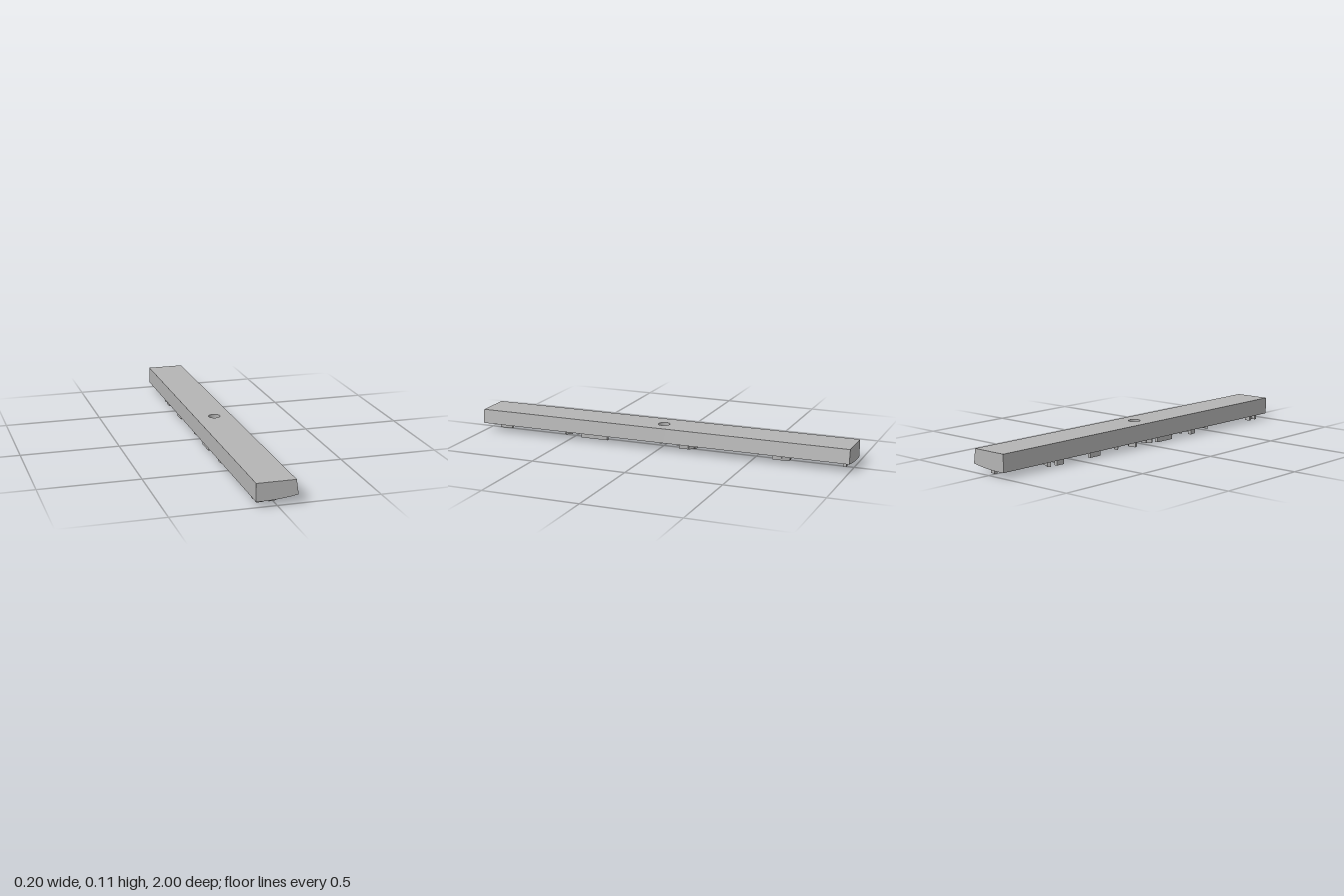
import * as THREE from 'three';

const TOP = 0.115, RELIEF = 0.027;
// gently curved underside height at x
const floorY = x => 0.027 + 0.55 * (x + 0.07) ** 2;

function extrude(shape, depth) {
  return new THREE.ExtrudeGeometry(shape, { depth, bevelEnabled: false, curveSegments: 16 });
}

function moveVertices(geo, rule) {
  const p = geo.attributes.position, v = new THREE.Vector3();
  for (let i = 0; i < p.count; i++) {
    rule(v.fromBufferAttribute(p, i));
    p.setXYZ(i, v.x, v.y, v.z);
  }
  geo.computeVertexNormals();
  return geo;
}

// columns across the width, shared by all bar sections
const columns = Array.from({ length: 13 }, (_, i) => -0.1 + (0.2 * i) / 12);

// solid bar section between two z positions
function barSection(z0, z1) {
  const s = new THREE.Shape();
  s.moveTo(0.09, TOP);
  s.lineTo(-0.1, TOP);
  columns.forEach(x => s.lineTo(x, floorY(x)));
  return extrude(s, z1 - z0).translate(0, 0, z0);
}

// middle section pierced by the screw hole
function piercedSection(half, radius) {
  const s = new THREE.Shape();
  columns.forEach((x, i) => (i ? s.lineTo(x, -half) : s.moveTo(x, -half)));
  [...columns].reverse().forEach(x => s.lineTo(x, half));
  const hole = new THREE.Path();
  hole.absarc(0, 0, radius, 0, Math.PI * 2, true);
  s.holes.push(hole);
  return moveVertices(extrude(s, 1).rotateX(-Math.PI / 2), v => {
    const top = v.y > 0.5;
    v.y = top ? TOP : floorY(v.x);
    if (top && v.x > 0.099) v.x = 0.09;
  });
}

// one straight raised rib from a to b, each [x, z], following the underside
function rib(a, b, width) {
  const dx = b[0] - a[0], dz = b[1] - a[1];
  const geo = new THREE.BoxGeometry(width, 1, Math.hypot(dx, dz) + width * 0.6).toNonIndexed();
  geo.rotateY(Math.atan2(dx, dz));
  geo.translate((a[0] + b[0]) / 2, 0, (a[1] + b[1]) / 2);
  return moveVertices(geo, v => {
    v.y = floorY(v.x) + (v.y < 0 ? -RELIEF : 0.008);
  });
}

// raised marks on the underside: chains of [x, z] points
const chains = [
  [[0.018, -0.958], [0.002, -0.958]],
  [[0.036, -0.603], [0.036, -0.64], [0.018, -0.672], [0.004, -0.672]],
  [[0.036, -0.603], [0.016, -0.606]],
  [[-0.024, -0.604], [-0.04, -0.604]],
  [[-0.026, -0.668], [-0.052, -0.672], [-0.078, -0.69]],
  [[-0.078, -0.603], [-0.078, -0.64]],
  [[-0.078, -0.35], [-0.078, -0.412]],
  [[0.036, -0.105], [0.03, -0.145], [0.01, -0.165], [-0.034, -0.172], [-0.05, -0.19]],
  [[0.034, -0.108], [0.01, -0.108]],
  [[-0.026, -0.065], [-0.05, -0.088], [-0.078, -0.08]],
  [[-0.032, 0.03], [-0.05, 0.035], [-0.072, 0.05]],
  [[-0.079, 0.087], [-0.079, 0.19]],
  [[0.038, 0.305], [0.038, 0.442]],
  [[0.016, 0.325], [0.006, 0.37], [-0.014, 0.352], [-0.03, 0.335]],
  [[-0.03, 0.398], [-0.045, 0.395], [-0.072, 0.39], [-0.076, 0.358]],
  [[0.006, 0.555], [-0.014, 0.538], [-0.03, 0.55], [-0.044, 0.536]],
  [[0.01, 0.93], [0.006, 0.88]],
  [[0.008, 0.936], [-0.016, 0.936]],
  [[-0.052, 0.93], [-0.058, 0.88], [-0.076, 0.882]],
  [[-0.056, 0.93], [-0.074, 0.932]],
];

export function createModel() {
  const group = new THREE.Group();
  const grey = new THREE.MeshStandardMaterial({ color: 0xb4b4b4 });
  grey.name = 'plain grey';
  const add = (geo, name, parent = group) => {
    const mesh = new THREE.Mesh(geo, grey);
    mesh.name = name;
    parent.add(mesh);
  };

  // bar body
  add(barSection(-1, -0.04), 'barBack');
  add(piercedSection(0.04, 0.03), 'barMiddle');
  add(barSection(0.04, 1), 'barFront');

  // raised marks below
  const marks = new THREE.Group();
  marks.name = 'undersideRibs';
  group.add(marks);
  for (const chain of chains)
    for (let i = 1; i < chain.length; i++) add(rib(chain[i - 1], chain[i], 0.017), 'rib', marks);
  return group;
}
